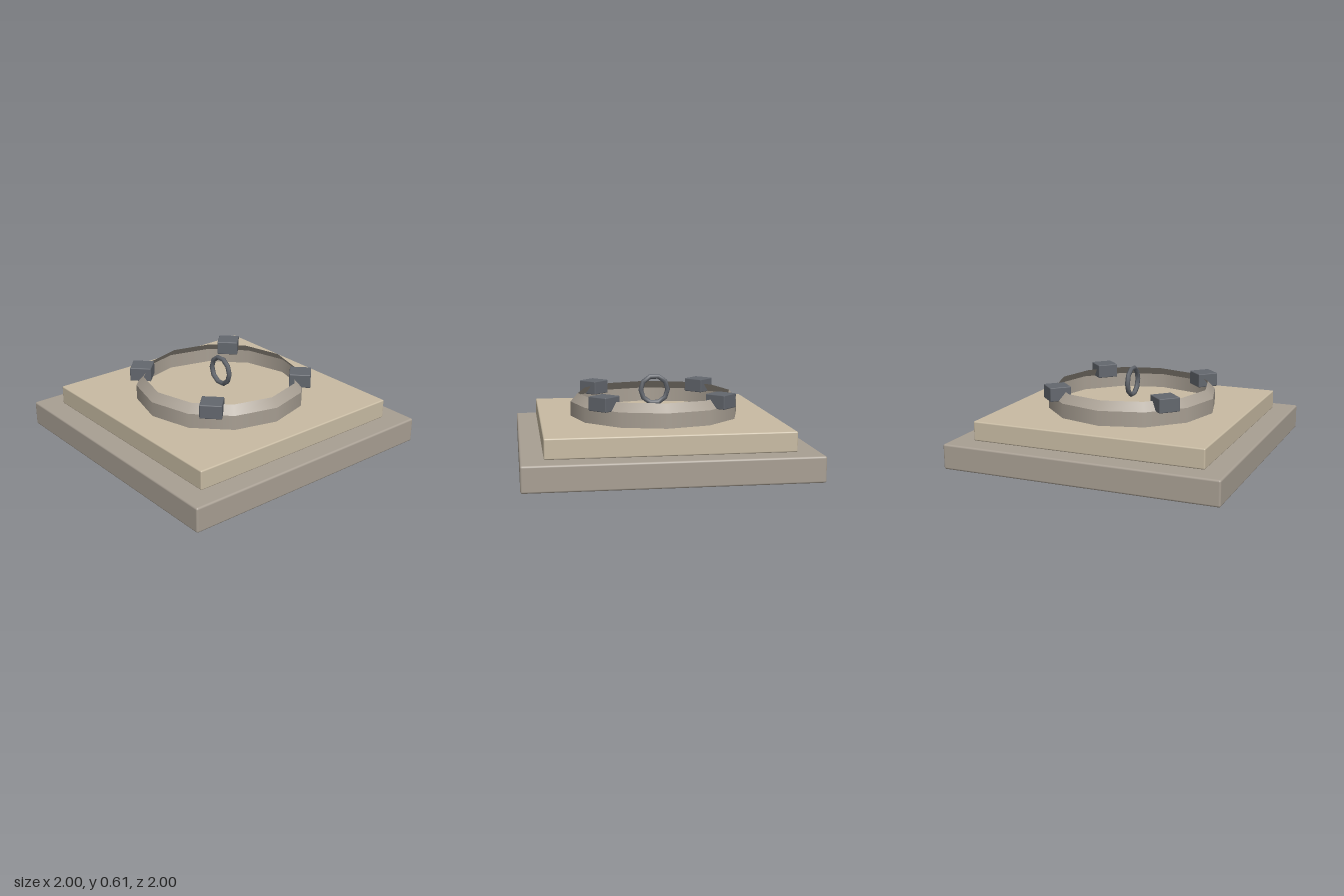
import * as THREE from 'three';
import { RoundedBoxGeometry } from 'three/addons/geometries/RoundedBoxGeometry.js';

export function createModel() {
  const model = new THREE.Group();
  model.name = 'hatchPedestal';
  const stone = new THREE.MeshStandardMaterial({ name: 'greyStone', color: 0xa89f93, side: THREE.DoubleSide });
  const sand = new THREE.MeshStandardMaterial({ name: 'sandStone', color: 0xc8bba3 });
  const iron = new THREE.MeshStandardMaterial({ name: 'darkIron', color: 0x63676e });

  const add = (name, geometry, material, x = 0, y = 0, z = 0, turn = 0) => {
    const mesh = new THREE.Mesh(geometry, material);
    mesh.name = name;
    mesh.position.set(x, y, z);
    mesh.rotation.y = turn;
    model.add(mesh);
    return mesh;
  };

  // Two stacked square slabs with softened edges
  add('baseSlab', new RoundedBoxGeometry(2, 0.18, 2, 2, 0.014), stone, 0, 0.09, 0);
  add('upperSlab', new RoundedBoxGeometry(1.69, 0.14, 1.69, 2, 0.01), sand, 0, 0.25, 0);

  // Open twelve-sided collar: upright wall and sloping rim
  add('collarWall', new THREE.CylinderGeometry(0.617, 0.617, 0.105, 12, 1, true), stone, 0, 0.3725, 0);
  add('collarRim', new THREE.CylinderGeometry(0.562, 0.617, 0.06, 12, 1, true), stone, 0, 0.455, 0);

  // Four clamps set diagonally across the rim
  for (const sx of [-1, 1]) {
    for (const sz of [-1, 1]) {
      add('clamp', new RoundedBoxGeometry(0.155, 0.1, 0.155, 1, 0.006), iron,
        sx * 0.41, 0.472, sz * 0.41, Math.PI / 4);
    }
  }

  // Upright lifting ring in the middle
  add('liftingRing', new THREE.TorusGeometry(0.1, 0.018, 6, 10), iron, 0, 0.5, 0, Math.PI / 2);

  return model;
}
